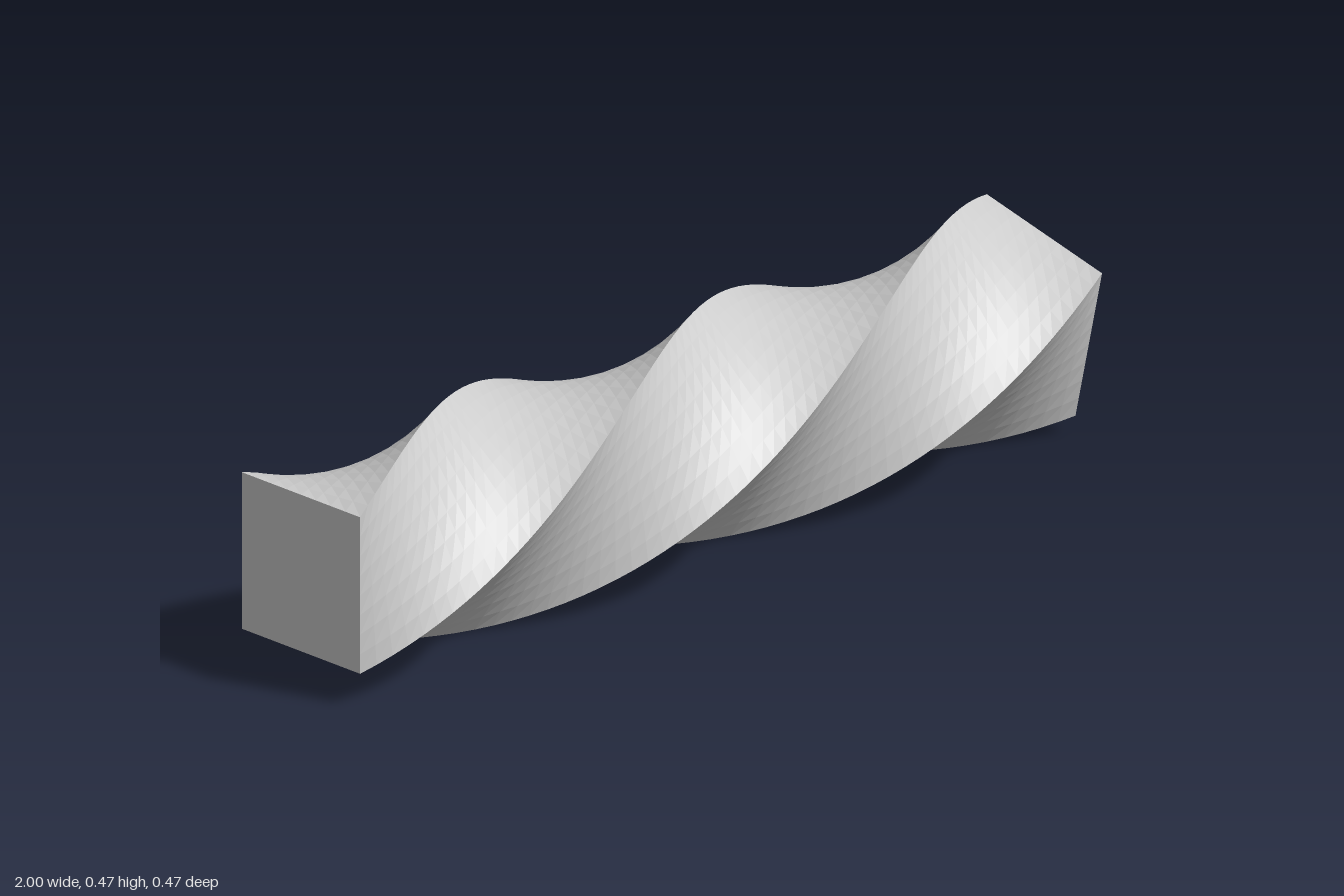
import * as THREE from 'three';

const LENGTH = 2;
const SIDE = 0.33;
const TWIST = THREE.MathUtils.degToRad(257);

// Turns each cross-section about the x axis in proportion to its distance along the bar
function twistAlongX(geometry, angle) {
  const p = geometry.attributes.position;
  for (let i = 0; i < p.count; i++) {
    const x = p.getX(i), y = p.getY(i), z = p.getZ(i);
    const a = angle * (x / LENGTH + 0.5);
    const c = Math.cos(a), s = Math.sin(a);
    p.setXYZ(i, x, y * c + z * s, z * c - y * s);
  }
  geometry.computeVertexNormals();
  return geometry;
}

export function createModel() {
  const group = new THREE.Group();
  group.name = 'twistedBar';

  // Square bar, axis-aligned at its -x end
  const geometry = twistAlongX(new THREE.BoxGeometry(LENGTH, SIDE, SIDE, 60, 8, 8), TWIST);
  const material = new THREE.MeshStandardMaterial({ color: 0xcccccc, flatShading: true });
  const bar = new THREE.Mesh(geometry, material);
  bar.name = 'squareBar';
  bar.position.y = SIDE * Math.SQRT1_2; // the twisting corners just touch the ground
  group.add(bar);

  return group;
}
